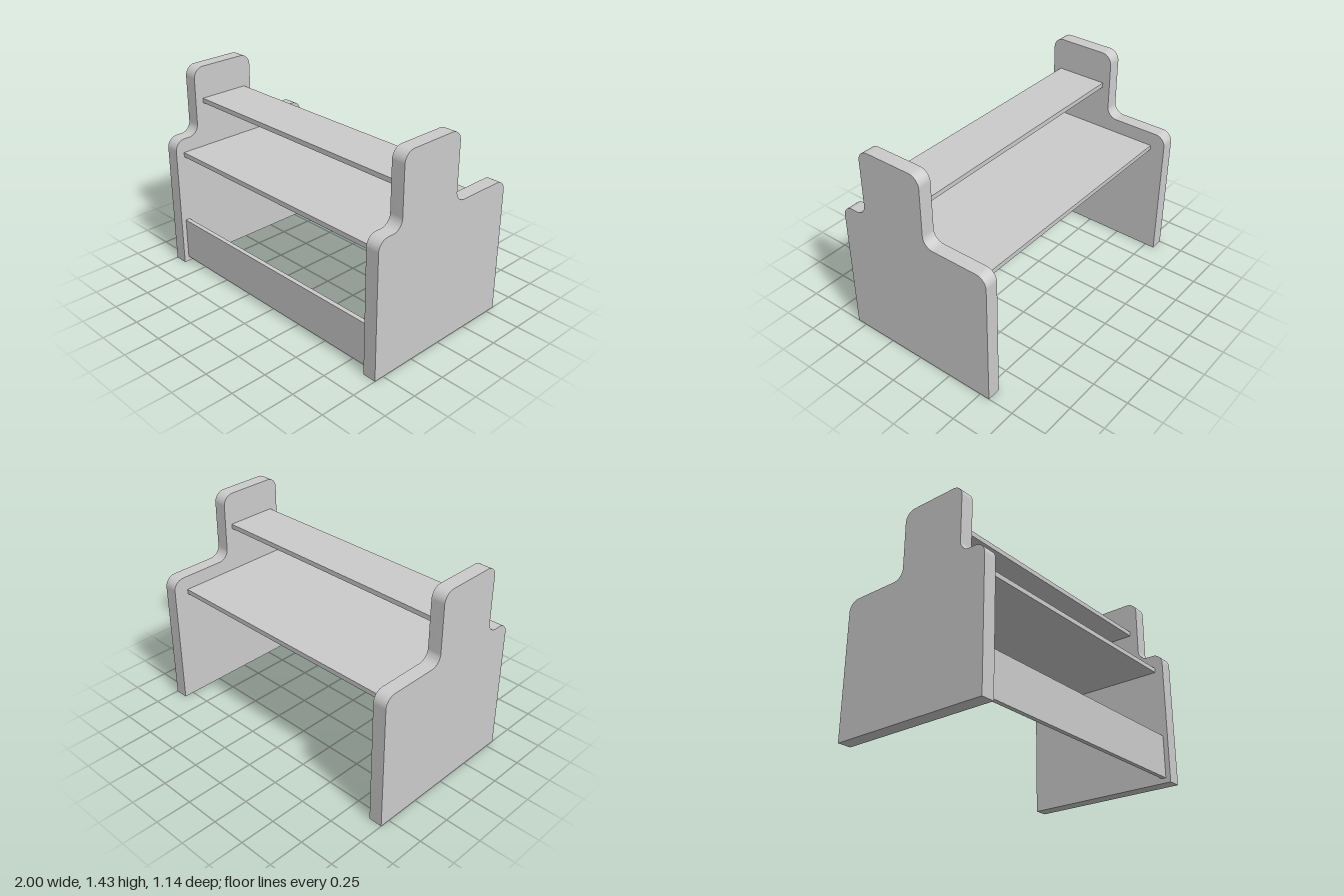
import * as THREE from 'three';
import { toCreasedNormals } from 'three/addons/utils/BufferGeometryUtils.js';

const material = new THREE.MeshStandardMaterial({ color: 0xcccccc });
const INNER = 0.905; // inner face of the side panels
const THICK = 1 - INNER;

// Side panel outline, drawn as (z, y) and extruded along x
function sidePanelGeometry() {
  const r = 0.075, depth = 0.57, shoulder = 0.953, top = 1.43;
  const neckFront = 0.38, neckBack = -0.097, q = Math.PI / 2;
  const s = new THREE.Shape();
  s.moveTo(-depth, 0);
  s.lineTo(depth, 0);
  s.absarc(depth - r, shoulder - r, r, 0, q, false);
  s.absarc(neckFront + r, shoulder + r, r, -q, -2 * q, true);
  s.absarc(neckFront - r, top - r, r, 0, q, false);
  s.absarc(neckBack + r, top - r, r, q, 2 * q, false);
  s.absarc(neckBack - r, shoulder + r, r, 0, -q, true);
  s.absarc(-depth + r, shoulder - r, r, q, 2 * q, false);
  s.closePath();
  const g = new THREE.ExtrudeGeometry(s, { depth: THICK, bevelEnabled: false, curveSegments: 12 });
  g.rotateY(-Math.PI / 2);
  g.translate(THICK / 2, 0, 0);
  return toCreasedNormals(g, 0.5);
}

export function createModel() {
  const group = new THREE.Group();
  const add = (name, geometry, x, y, z) => {
    const mesh = new THREE.Mesh(geometry, material);
    mesh.name = name;
    mesh.position.set(x, y, z);
    group.add(mesh);
  };
  // Board spanning between the side panels
  const board = (name, y0, y1, z0, z1) =>
    add(name, new THREE.BoxGeometry(2 * INNER, y1 - y0, z1 - z0), 0, (y0 + y1) / 2, (z0 + z1) / 2);

  const panel = sidePanelGeometry();
  add('leftSidePanel', panel, INNER + THICK / 2, 0, 0);
  add('rightSidePanel', panel, -INNER - THICK / 2, 0, 0);

  board('deskTop', 0.82, 0.853, -0.465, 0.508);
  board('upperShelf', 1.17, 1.203, -0.042, 0.32);
  board('frontRail', 0.035, 0.335, 0.503, 0.535);
  return group;
}
